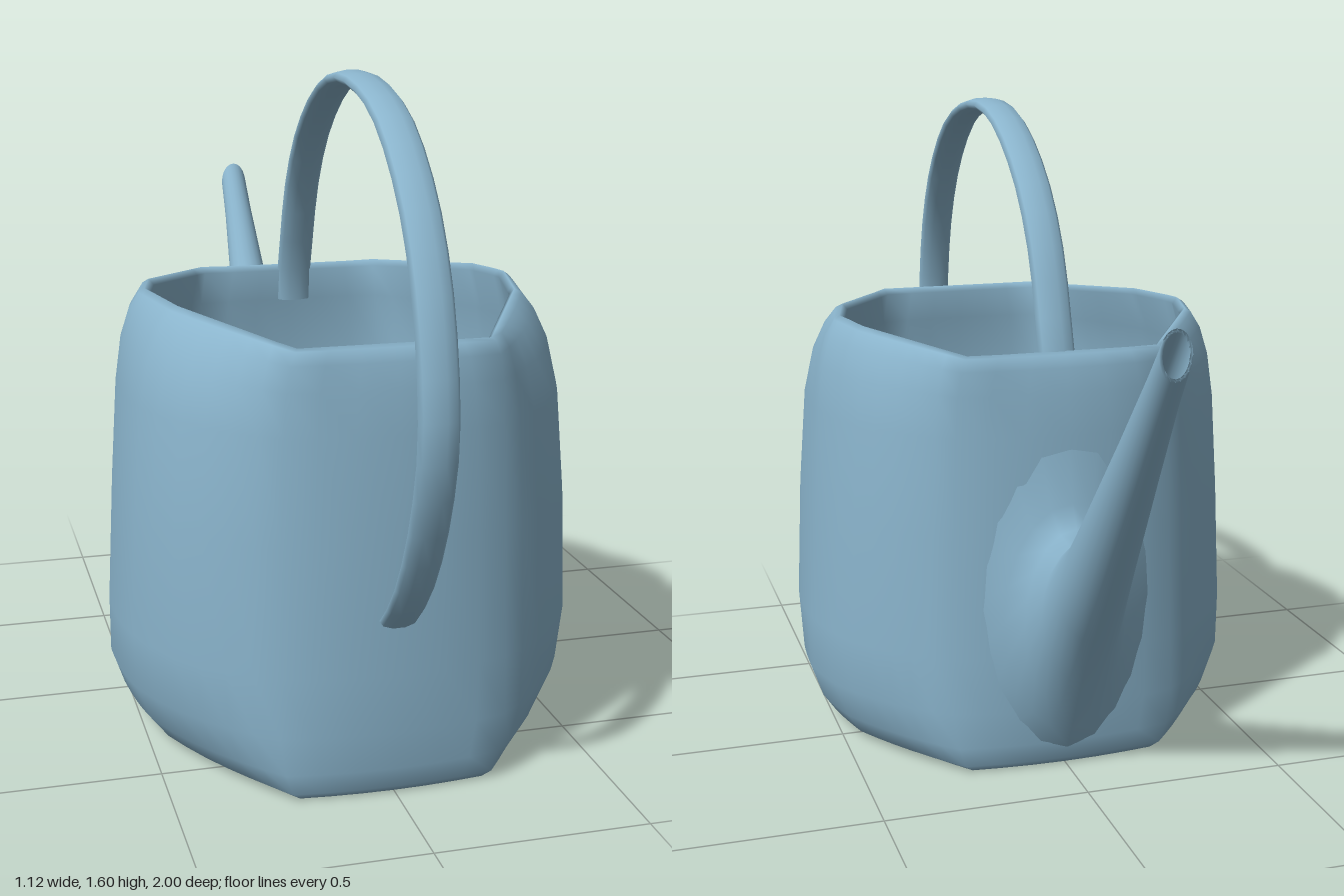
import * as THREE from 'three';

const material = new THREE.MeshStandardMaterial({ color: 0x8ab4cc, side: THREE.DoubleSide });
const { lerp, clamp } = THREE.MathUtils;

// Skins a list of closed rings (equal point counts) with smooth shading.
function loft(name, rings) {
  const n = rings[0].length;
  const index = [];
  for (let i = 0; i < rings.length - 1; i++) {
    for (let j = 0; j < n; j++) {
      const a = i * n + j, b = i * n + (j + 1) % n;
      index.push(a, a + n, b + n, a, b + n, b);
    }
  }
  const geometry = new THREE.BufferGeometry();
  geometry.setAttribute('position', new THREE.Float32BufferAttribute(rings.flat(2), 3));
  geometry.setIndex(index);
  geometry.computeVertexNormals();
  const mesh = new THREE.Mesh(geometry, material);
  mesh.name = name;
  return mesh;
}

const ring = (n, point) => Array.from({ length: n }, (_, j) => point(j / n * Math.PI * 2, j));

// Body: angular at base and rim, round in the middle, hollow with a floor.
function createBody() {
  const centreZ = 0.195, perSide = 6;
  // outline of the rim, in half widths and half depths
  const corners = [
    [1, -0.14], [0.9, 0.26], [0.48, 1], [-0.48, 1], [-0.9, 0.26],
    [-1, -0.14], [-0.93, -0.42], [-0.52, -1], [0.52, -1], [0.93, -0.42]
  ];
  const soften = v => Math.sign(v) * Math.pow(Math.abs(v), 0.9);
  // height, half width, half depth, angular share, lift of the sides
  const levels = [
    [0.003, 0, 0, 0.7, 0], [0.003, 0.455, 0.515, 0.7, 0], [0.02, 0.495, 0.53, 0.65, 0],
    [0.07, 0.53, 0.542, 0.5, 0], [0.16, 0.562, 0.549, 0.3, 0], [0.3, 0.563, 0.555, 0.08, 0],
    [0.6, 0.548, 0.552, 0.05, 0], [0.85, 0.532, 0.542, 0.15, 0], [0.95, 0.517, 0.53, 0.4, 0.01],
    [1.01, 0.495, 0.52, 0.7, 0.02], [1.04, 0.47, 0.507, 0.9, 0.03],
    [1.045, 0.455, 0.49, 1, 0.035], [1.03, 0.442, 0.475, 1, 0.035],
    // inside
    [0.95, 0.47, 0.488, 0.7, 0.01], [0.8, 0.495, 0.508, 0.4, 0], [0.3, 0.52, 0.52, 0.3, 0],
    [0.12, 0.515, 0.515, 0.4, 0], [0.04, 0.46, 0.49, 0.7, 0], [0.035, 0, 0, 0.7, 0]
  ];
  return loft('body', levels.map(([y, hx, hz, angular, lift]) =>
    ring(perSide * corners.length, (_, j) => {
      const side = Math.floor(j / perSide), t = (j % perSide) / perSide;
      const from = corners[side], to = corners[(side + 1) % corners.length];
      const cx = lerp(from[0], to[0], t), cz = lerp(from[1], to[1], t);
      const angle = Math.atan2(cz, cx);
      const x = lerp(soften(Math.cos(angle)), cx, angular);
      const z = lerp(soften(Math.sin(angle)), cz, angular);
      const rise = lift * clamp((Math.abs(cx) - 0.5) / 0.48, 0, 1);
      return [x * hx, y + rise, centreZ + z * hz];
    })));
}

// Spout: upright slices flaring out of the back wall, with a recessed mouth.
function createSpout() {
  // z, bottom, top, half width, forward bend of the sides
  const slices = [
    [-0.322, 0.03, 0.95, 0.3, 0.045], [-0.346, 0.055, 0.83, 0.23, 0.03],
    [-0.37, 0.11, 0.69, 0.17, 0.01], [-0.4, 0.17, 0.635, 0.128, 0],
    [-0.45, 0.27, 0.617, 0.102, 0], [-0.53, 0.4, 0.67, 0.087, 0],
    [-0.6, 0.505, 0.752, 0.077, 0], [-0.8, 0.81, 0.99, 0.053, 0],
    [-0.93, 1.015, 1.145, 0.04, 0], [-1, 1.12, 1.23, 0.036, 0],
    [-1, 1.128, 1.222, 0.029, 0], [-0.9, 0.985, 1.095, 0.032, 0],
    [-0.8, 0.9, 0.9, 0, 0]
  ];
  return loft('spout', slices.map(([z, low, high, half, bend]) => ring(20, a => [
    half * Math.cos(a),
    (low + high) / 2 + (high - low) / 2 * Math.sin(a),
    z + bend * Math.cos(a) ** 2
  ])));
}

// Handle: a flat band arching from the front wall to the inside of the back rim.
function createHandle() {
  const path = new THREE.CatmullRomCurve3([
    [0.73, 0.42], [0.8, 0.485], [0.867, 0.572], [0.94, 0.72], [0.983, 0.9], [0.957, 1.09],
    [0.89, 1.26], [0.78, 1.405], [0.6, 1.53], [0.33, 1.583], [0.13, 1.545], [-0.07, 1.42],
    [-0.19, 1.27], [-0.26, 1.1], [-0.285, 1.03], [-0.295, 0.95]
  ].map(([z, y]) => new THREE.Vector3(0, y, z)));
  const steps = 30, rings = [];
  for (let i = 0; i <= steps; i++) {
    const p = path.getPointAt(i / steps), t = path.getTangentAt(i / steps);
    const shift = lerp(-0.004, 0.014, i / steps);
    const section = size => ring(10, a => {
      const x = 0.045 * size * Math.cos(a), out = 0.017 * size * Math.sin(a);
      return [shift + x, p.y - t.z * out, p.z + t.y * out];
    });
    // doubled end rings keep the flat ends crisp
    if (i === 0) rings.push(section(0), section(1));
    rings.push(section(1));
    if (i === steps) rings.push(section(1), section(0));
  }
  return loft('handle', rings);
}

export function createModel() {
  const model = new THREE.Group();
  model.name = 'wateringCan';
  model.add(createBody(), createSpout(), createHandle());
  return model;
}
